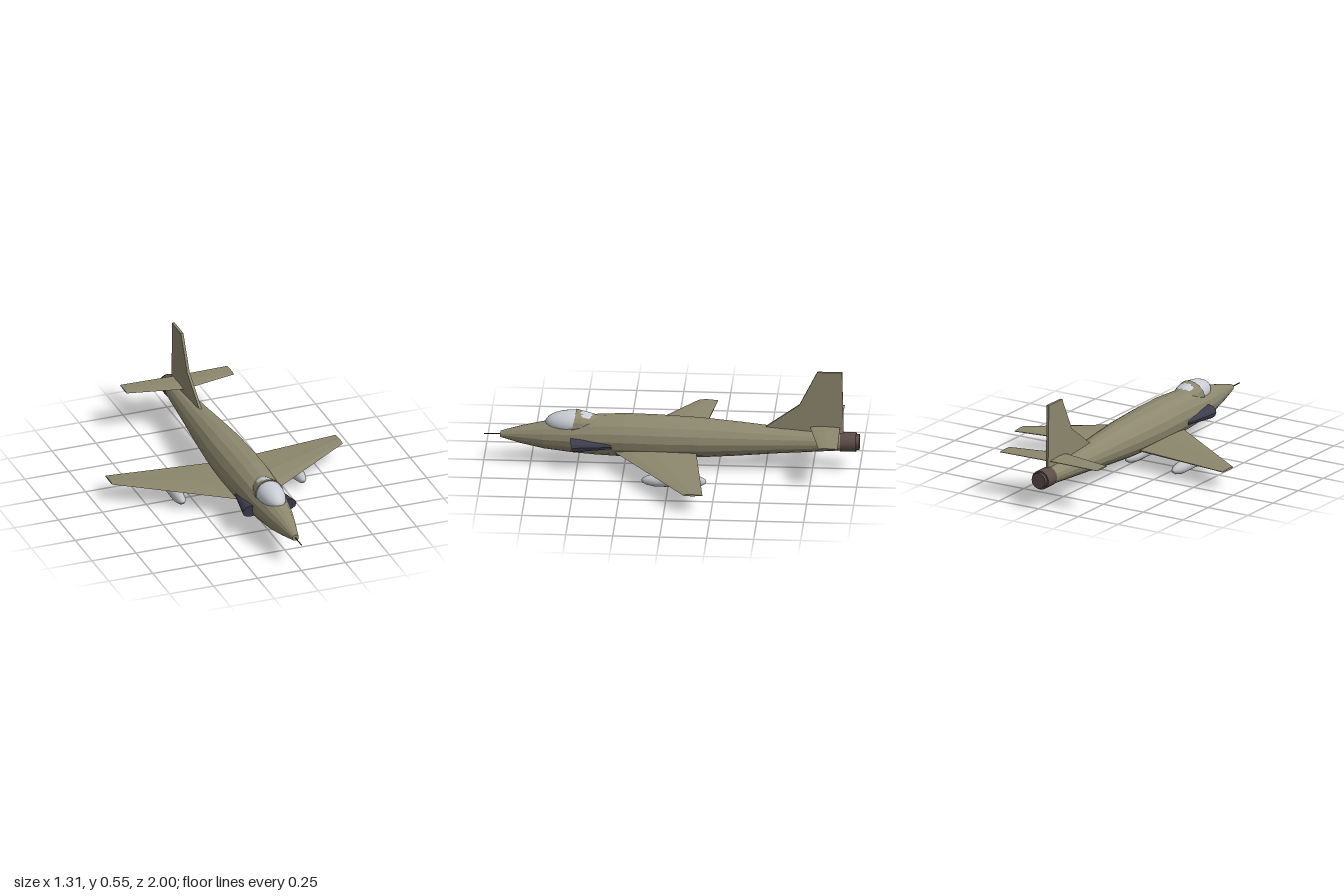
import * as THREE from 'three';

const mat = (name, color) => {
  const m = new THREE.MeshStandardMaterial({ color });
  m.name = name;
  return m;
};

// Flat-faced skin through equal-sized rings of [x, y, z], capped at both ends
function loft(rings) {
  const n = rings[0].length, last = rings.length - 1, tris = [];
  for (let r = 0; r < last; r++) {
    for (let i = 0; i < n; i++) {
      const j = (i + 1) % n;
      const [a, b, c, d] = [rings[r][i], rings[r][j], rings[r + 1][j], rings[r + 1][i]];
      tris.push([a, b, c], [a, c, d]);
    }
  }
  for (let i = 1; i < n - 1; i++) {
    tris.push([rings[0][0], rings[0][i + 1], rings[0][i]]);
    tris.push([rings[last][0], rings[last][i], rings[last][i + 1]]);
  }
  // Signed volume tells whether the faces point outwards
  let volume = 0;
  for (const [a, b, c] of tris) {
    volume += a[0] * (b[1] * c[2] - b[2] * c[1]) + a[1] * (b[2] * c[0] - b[0] * c[2]) + a[2] * (b[0] * c[1] - b[1] * c[0]);
  }
  const pos = tris.flatMap(([a, b, c]) => (volume < 0 ? [a, c, b] : [a, b, c])).flat();
  const geo = new THREE.BufferGeometry();
  geo.setAttribute('position', new THREE.Float32BufferAttribute(pos, 3));
  geo.computeVertexNormals();
  return geo;
}

// Ellipse ring across the z axis
function oval(z, cx, cy, rx, ry, sides = 16) {
  return Array.from({ length: sides }, (_, i) => {
    const a = (i / sides) * Math.PI * 2;
    return [cx + Math.cos(a) * rx, cy + Math.sin(a) * ry, z];
  });
}

// Faceted aerofoil ring across the x axis
function aerofoil(x, front, back, y, up, down) {
  const at = (t) => front + (back - front) * t;
  return [
    [x, y, front], [x, y + up * 0.7, at(0.15)], [x, y + up, at(0.45)], [x, y + up * 0.25, back],
    [x, y - down * 0.25, back], [x, y - down, at(0.45)], [x, y - down * 0.7, at(0.15)],
  ];
}

export function createModel() {
  const model = new THREE.Group();
  const olive = mat('olive paint', 0x8c876d);
  const navy = mat('dark intake', 0x3e3d50);
  const nozzleMetal = mat('burnt metal', 0x5d4d49);
  const silver = mat('silver tank', 0xc0c3c6);
  const glass = mat('canopy glass', 0xc9cdd4);
  const dark = mat('dark metal', 0x3c3a3a);

  const add = (name, geo, material, x = 0, y = 0, z = 0, parent = model) => {
    const mesh = new THREE.Mesh(geo, material);
    mesh.name = name;
    mesh.position.set(x, y, z);
    parent.add(mesh);
    return mesh;
  };
  const rod = (front, back, length, sides) => new THREE.CylinderGeometry(front, back, length, sides).rotateX(Math.PI / 2);

  // Fuselage stations: z, bottom, top, half width
  const stations = [
    [0.912, 0.138, 0.172, 0.018], [0.8, 0.108, 0.204, 0.047], [0.68, 0.084, 0.23, 0.075],
    [0.52, 0.067, 0.256, 0.1], [0.4, 0.059, 0.274, 0.111], [0.25, 0.053, 0.282, 0.119],
    [0.08, 0.051, 0.279, 0.12], [-0.15, 0.058, 0.269, 0.112], [-0.35, 0.071, 0.252, 0.096],
    [-0.55, 0.088, 0.232, 0.078], [-0.75, 0.101, 0.216, 0.061], [-0.91, 0.112, 0.206, 0.048],
  ];
  add('fuselage', loft(stations.map(([z, lo, hi, w]) => oval(z, 0, (lo + hi) / 2, w, (hi - lo) / 2))), olive);
  add('noseProbe', rod(0.003, 0.003, 0.1, 6), dark, 0, 0.155, 0.95);

  // Canopy and the fairing behind it
  const dome = new THREE.SphereGeometry(1, 24, 16);
  dome.scale(0.074, 0.066, 0.15);
  add('canopy', dome, glass, 0, 0.232, 0.523);
  add('canopyFairing', loft([
    oval(0.525, 0, 0.23, 0.08, 0.073).map(([x, y, z]) => [x, y, z - (y - 0.23) * 0.25]),
    oval(0.47, 0, 0.23, 0.074, 0.063),
    oval(0.39, 0, 0.23, 0.05, 0.043),
  ]), olive);

  // Tail fin with dorsal root
  const finShape = new THREE.Shape([
    [-0.5, 0.235], [-0.68, 0.365], [-0.775, 0.555], [-0.907, 0.555], [-0.915, 0.215], [-0.9, 0.17], [-0.55, 0.2],
  ].map(([z, y]) => new THREE.Vector2(-z, y)));
  const fin = new THREE.ExtrudeGeometry(finShape, { depth: 0.014, bevelEnabled: false });
  fin.translate(0, 0, -0.007).rotateY(Math.PI / 2);
  add('tailFin', fin, olive);

  // Exhaust
  add('exhaustNozzle', rod(0.052, 0.052, 0.085, 20), nozzleMetal, 0, 0.158, -0.94);
  add('exhaustLip', rod(0.043, 0.043, 0.03, 20), nozzleMetal, 0, 0.158, -0.985);

  // Drop tank turned around its long axis
  const tankProfile = [
    [0, -0.173], [0.012, -0.168], [0.024, -0.145], [0.033, -0.1],
    [0.033, 0.1], [0.024, 0.145], [0.012, 0.168], [0, 0.173],
  ].map(([r, z]) => new THREE.Vector2(r, z));
  const tankGeo = new THREE.LatheGeometry(tankProfile, 16).rotateX(Math.PI / 2);
  add('centreTank', tankGeo, silver, 0, 0.036, 0.045);
  add('centrePylon', new THREE.BoxGeometry(0.012, 0.03, 0.12), silver, 0, 0.065, 0.045);

  // Mirrored parts
  for (const [label, s] of [['left', 1], ['right', -1]]) {
    const side = new THREE.Group();
    side.name = label + 'Side';
    model.add(side);
    const put = (name, geo, material, x, y, z) => add(label + name, geo, material, x, y, z, side);

    put('Wing', loft([
      aerofoil(0, 0.365, -0.125, 0.104, 0.018, 0.013),
      aerofoil(s * 0.12, 0.28, -0.14, 0.104, 0.016, 0.012),
      aerofoil(s * 0.655, -0.1, -0.205, 0.102, 0.006, 0.005),
    ]), olive);
    put('Tailplane', loft([
      aerofoil(0, -0.735, -0.895, 0.24, 0.006, 0.006),
      aerofoil(s * 0.305, -0.8, -0.902, 0.24, 0.004, 0.004),
    ]), olive);
    put('Intake', loft([
      oval(0.525, s * 0.107, 0.145, 0.046, 0.036, 12).map(([x, y, z]) => [x, y, z - (0.145 - y) * 0.2]),
      oval(0.315, s * 0.095, 0.14, 0.021, 0.017, 12),
    ]), navy);
    put('Tank', tankGeo, silver, s * 0.343, 0.053, -0.033);
    put('Pylon', new THREE.BoxGeometry(0.012, 0.03, 0.1), silver, s * 0.343, 0.09, -0.03);
  }
  return model;
}
